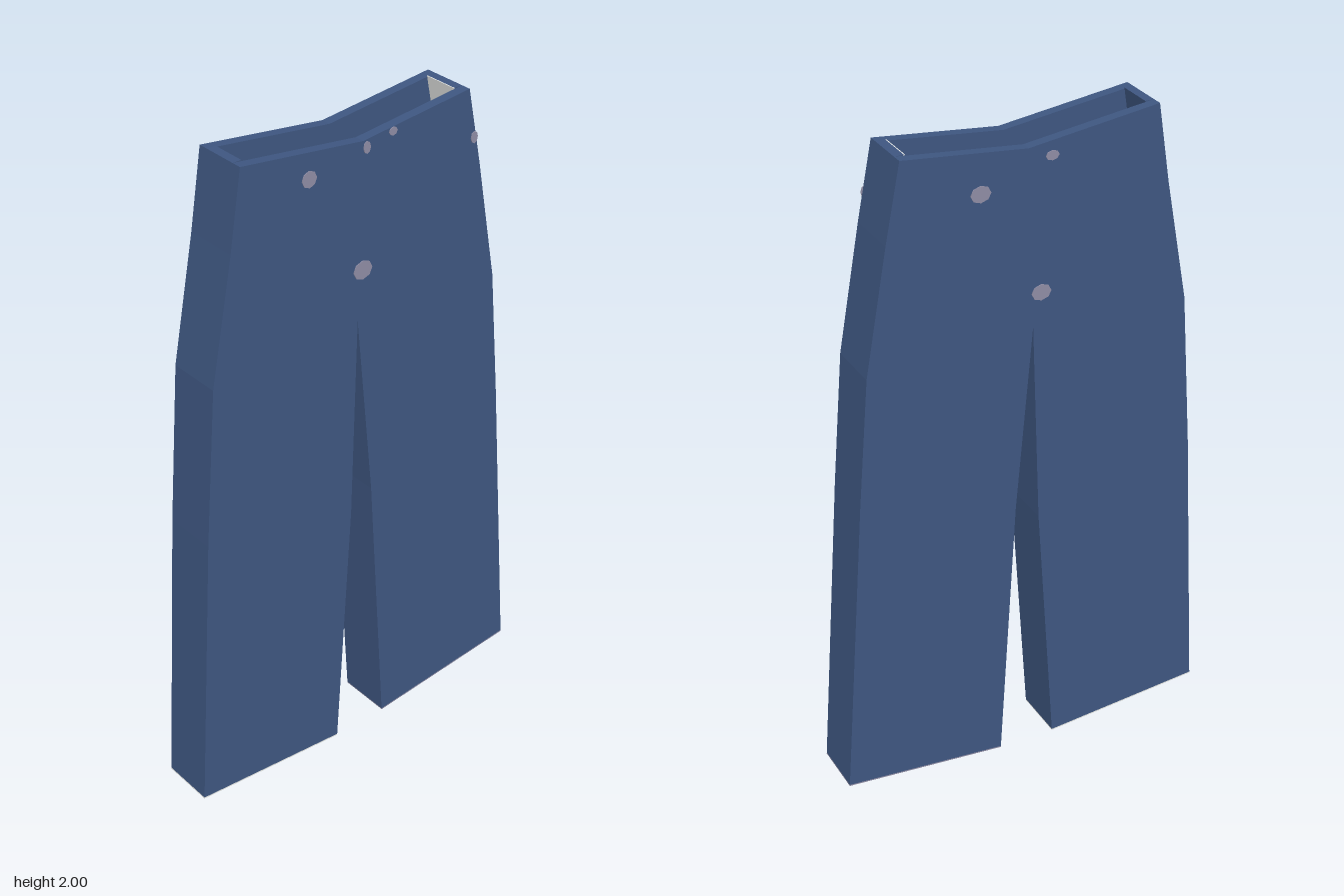
import * as THREE from 'three';

const HALF = 0.083; // half thickness of the garment
const CAV = 0.053; // half width of the hollow inside
const SEAM = 0.027; // thickness of the seam walls

const denim = new THREE.MeshStandardMaterial({ color: 0x3e5680 });
const lining = new THREE.MeshStandardMaterial({ color: 0xe4e6e4 });
const lavender = new THREE.MeshStandardMaterial({ color: 0x8e8ca4 });
denim.name = 'denim blue';
lining.name = 'pale lining';
lavender.name = 'lavender grey';

// Outline paths as [z, y]
const frontSeam = [[0.59, 0.04], [0.537, 0.92], [0.5, 1.4], [0.43, 1.77], [0.393, 2]];
const backSeam = [[-0.59, 0.062], [-0.516, 1.0], [-0.48, 1.4], [-0.412, 1.77], [-0.366, 1.995]];
const inseam = [[0.09, 0.004], [0.037, 0.81], [0.016, 1.43], [-0.037, 0.86], [-0.088, 0.008]];
const waistDip = [0, 1.953];

export function createModel() {
  const root = new THREE.Group();
  root.name = 'trousers';

  const add = (name, geometry, material) => {
    const mesh = new THREE.Mesh(geometry, material);
    mesh.name = name;
    root.add(mesh);
    return mesh;
  };

  // Extrudes a [z, y] outline sideways from x0 to x1
  const slab = (name, points, x0, x1, material) => {
    const shape = new THREE.Shape(points.map(([z, y]) => new THREE.Vector2(z, y)));
    const geo = new THREE.ExtrudeGeometry(shape, { depth: x1 - x0, bevelEnabled: false });
    geo.rotateY(-Math.PI / 2).translate(x1, 0, 0);
    return add(name, geo, material);
  };

  const shift = (path, dz) => path.map(([z, y]) => [z + dz, y]);
  // Closed strip between two shifted copies of a path
  const strip = (path, a, b) => [...shift(path, a), ...shift(path, b).reverse()];

  // Broad side panels
  const outline = [...frontSeam, waistDip, ...[...backSeam].reverse(), ...[...inseam].reverse()];
  slab('leftPanel', outline, CAV, HALF, denim);
  slab('rightPanel', outline, -HALF, -CAV, denim);

  // Outer seam walls closing the front and back
  slab('frontSeamWall', strip(frontSeam, 0, -SEAM), -CAV, CAV, denim);
  slab('backSeamWall', strip(backSeam, 0, SEAM), -CAV, CAV, denim);
  slab('backSeamLining', strip(backSeam, SEAM, SEAM + 0.003), -CAV, CAV, lining);

  // Inseam wall between the legs, with its pale inner face
  const inseamOffset = (d) => inseam.map(([z, y], i) =>
    i === 2 ? [z, y + d * 1.5] : [z + (i < 2 ? d : -d), y]);
  const inseamStrip = (a, b) => [...inseamOffset(a), ...inseamOffset(b).reverse()];
  slab('inseamWall', inseamStrip(0, SEAM - 0.003), -CAV, CAV, denim);
  slab('inseamLining', inseamStrip(SEAM - 0.003, SEAM), -CAV, CAV, lining);

  // Pale lining inside the front leg
  const legLining = [
    ...shift(frontSeam.slice(0, 3), -SEAM),
    ...shift(inseam.slice(0, 3), SEAM).reverse(),
  ];
  slab('frontLegLiningLeft', legLining, CAV - 0.003, CAV, lining);
  slab('frontLegLiningRight', legLining, -CAV, -CAV + 0.003, lining);
  slab('frontSeamLining', strip(frontSeam.slice(0, 3), -SEAM, -SEAM - 0.003), -CAV, CAV, lining);

  // Thin frame under each leg opening
  const hem = (name, from, to, material) => {
    const start = new THREE.Vector3(0, from[1], from[0]);
    const u = new THREE.Vector3(0, to[1], to[0]).sub(start);
    const len = u.length();
    u.normalize();
    const v = new THREE.Vector3(1, 0, 0);
    const n = u.clone().cross(v);
    const rect = (Type, s0, s1, t) => new Type([
      [s0, -t], [s1, -t], [s1, t], [s0, t],
    ].map(([s, w]) => new THREE.Vector2(s, w)));
    const frame = rect(THREE.Shape, 0, len, HALF);
    frame.holes.push(rect(THREE.Path, SEAM, len - SEAM, CAV));
    const geo = new THREE.ExtrudeGeometry(frame, { depth: 0.004, bevelEnabled: false });
    geo.applyMatrix4(new THREE.Matrix4().makeBasis(u, v, n)
      .setPosition(start.addScaledVector(n, -0.004)));
    add(name, geo, material);
  };
  hem('frontHem', inseam[0], frontSeam[0], lining);
  hem('backHem', backSeam[0], inseam[4], lavender);

  // Small flat studs: side, z, y, half width in z, half height in y
  const studs = [
    [1, 0.178, 1.9, 0.024, 0.024],
    [1, 0, 1.58, 0.032, 0.028],
    [1, -0.012, 1.932, 0.012, 0.018],
    [1, -0.1, 1.952, 0.014, 0.012],
    [1, -0.388, 1.85, 0.012, 0.018],
    [-1, -0.14, 1.855, 0.03, 0.024],
    [-1, 0.04, 1.53, 0.03, 0.024],
    [-1, 0.07, 1.92, 0.02, 0.014],
  ];
  studs.forEach(([side, z, y, w, h], i) => {
    const geo = new THREE.CylinderGeometry(1, 1, 0.003, 8);
    geo.rotateZ(Math.PI / 2).scale(1, h, w);
    add(`stud${i + 1}`, geo, lavender).position.set(side * (HALF + 0.001), y, z);
  });

  return root;
}
